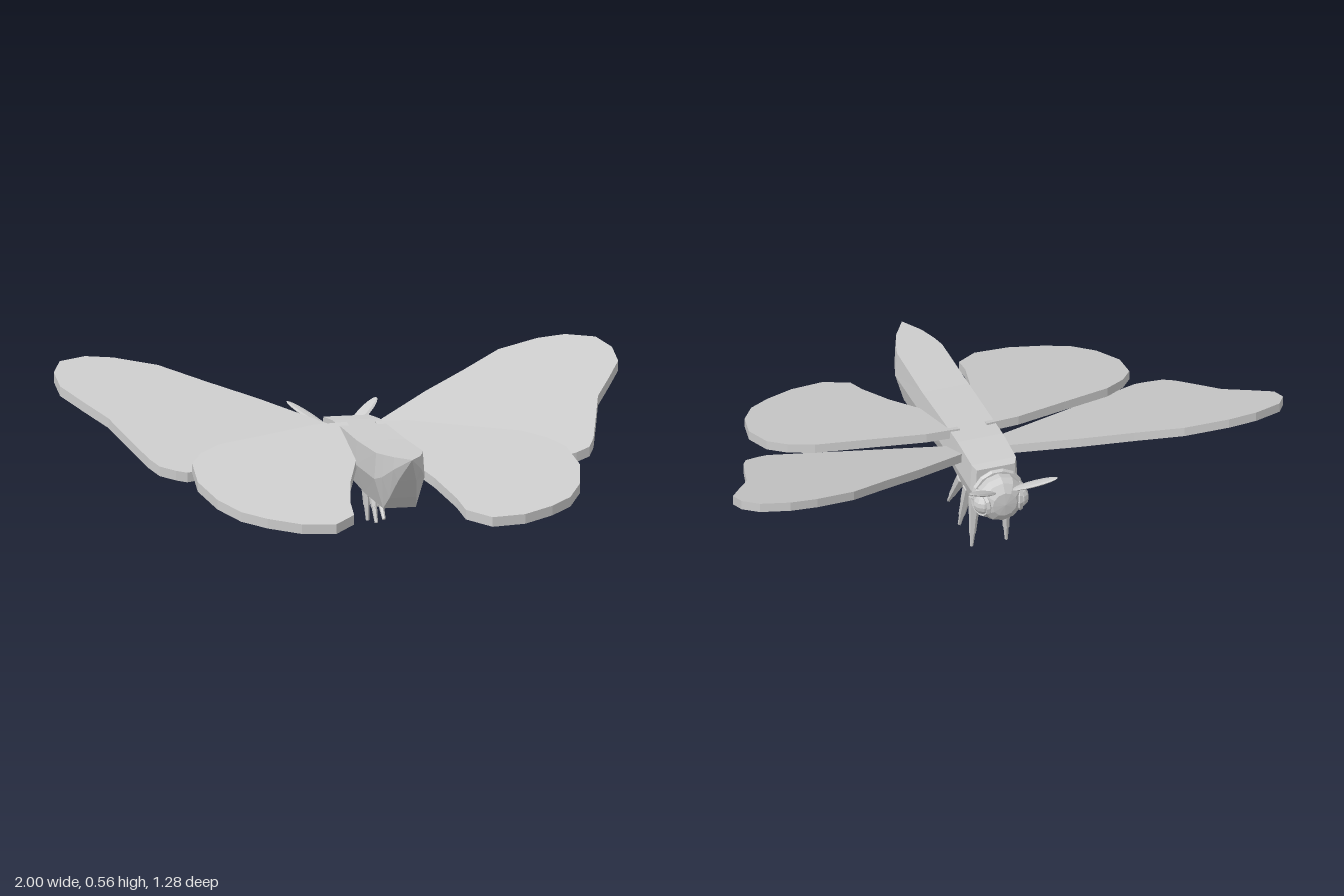
import * as THREE from 'three';

const grey = new THREE.MeshStandardMaterial({ color: 0xcccccc, flatShading: true });
grey.name = 'paleGrey';

function add(parent, name, geometry) {
  const mesh = new THREE.Mesh(geometry, grey);
  mesh.name = name;
  parent.add(mesh);
  return mesh;
}

// Flat wing plate: outline in x,z, laid on the sloping plane y = a + b*x + c*z
function wing(points, side, [a, b, c], thick) {
  const shape = new THREE.Shape(points.map(([x, z]) => new THREE.Vector2(x * side, -z)));
  const geo = new THREE.ExtrudeGeometry(shape, { depth: thick, bevelEnabled: false });
  geo.rotateX(-Math.PI / 2);
  const p = geo.attributes.position;
  for (let i = 0; i < p.count; i++) {
    p.setY(i, p.getY(i) - thick + a + b * Math.abs(p.getX(i)) + c * p.getZ(i));
  }
  geo.computeVertexNormals();
  return geo;
}

// Faceted body lofted from six-sided sections: [z, half width, top, middle, bottom]
function loft(sections) {
  const pos = [], idx = [], n = 6;
  for (const [z, w, top, mid, bot] of sections) {
    for (const [x, y] of [[w, mid], [w * 0.93, top], [-w * 0.93, top], [-w, mid], [-w * 0.65, bot], [w * 0.65, bot]]) pos.push(x, y, z);
  }
  for (let i = 0; i < sections.length - 1; i++) {
    for (let j = 0; j < n; j++) {
      const a = i * n + j, b = i * n + (j + 1) % n;
      idx.push(a, b, a + n, b, b + n, a + n);
    }
  }
  for (let j = 1; j < n - 1; j++) idx.push(0, j + 1, j);
  const geo = new THREE.BufferGeometry();
  geo.setAttribute('position', new THREE.Float32BufferAttribute(pos, 3));
  geo.setIndex(idx);
  const flat = geo.toNonIndexed();
  flat.computeVertexNormals();
  return flat;
}

// Tapered rod between two points
function rod(from, to, r0, r1) {
  const dir = to.clone().sub(from);
  const geo = new THREE.CylinderGeometry(r1, r0, dir.length(), 6);
  geo.applyQuaternion(new THREE.Quaternion().setFromUnitVectors(new THREE.Vector3(0, 1, 0), dir.clone().normalize()));
  const m = from.clone().add(to).multiplyScalar(0.5);
  return geo.translate(m.x, m.y, m.z);
}

const foreOutline = [
  [0.05, -0.22], [0.09, -0.25], [0.3, -0.4], [0.46, -0.5], [0.61, -0.6], [0.76, -0.64],
  [0.86, -0.643], [0.96, -0.605], [1, -0.53], [1, -0.44], [0.94, -0.34], [0.877, -0.24],
  [0.84, -0.12], [0.797, 0.015], [0.77, 0.065], [0.717, 0.09], [0.68, 0.1], [0.09, -0.1], [0.05, -0.11],
];
const hindOutline = [
  [0.05, -0.13], [0.17, -0.12], [0.36, -0.06], [0.54, -0.005], [0.62, 0.055], [0.67, 0.13],
  [0.685, 0.27], [0.65, 0.41], [0.59, 0.51], [0.51, 0.57], [0.4, 0.623], [0.28, 0.635],
  [0.2, 0.57], [0.19, 0.48], [0.15, 0.32], [0.09, 0.16], [0.05, 0.1],
];

export function createModel() {
  const model = new THREE.Group();
  model.name = 'moth';

  // Body, from the chest at -z to the raised tail point
  add(model, 'body', loft([
    [-0.36, 0.075, 0.355, 0.26, 0.175],
    [-0.34, 0.088, 0.368, 0.27, 0.17],
    [-0.2, 0.09, 0.38, 0.28, 0.178],
    [-0.06, 0.09, 0.378, 0.285, 0.208],
    [0.157, 0.092, 0.373, 0.29, 0.188],
    [0.42, 0.09, 0.377, 0.285, 0.18],
    [0.47, 0.075, 0.379, 0.3, 0.225],
    [0.53, 0.05, 0.38, 0.335, 0.295],
    [0.6, 0.001, 0.381, 0.38, 0.379],
  ]));

  // Head, rounded towards -z, with a collar
  const head = new THREE.Group();
  head.name = 'head';
  model.add(head);
  const profile = [[0, 0.33], [0.075, 0.34], [0.084, 0.375], [0.086, 0.41], [0.075, 0.435], [0.045, 0.455], [0, 0.46]];
  const skull = new THREE.LatheGeometry(profile.map(([r, z]) => new THREE.Vector2(r, z)), 12);
  add(head, 'skull', skull.rotateX(-Math.PI / 2).translate(0, 0.257, 0));
  add(head, 'collar', new THREE.TorusGeometry(0.085, 0.012, 6, 14).translate(0, 0.257, -0.372));

  // Legs: hip and foot as [y, z]
  const legs = [[[0.21, -0.302], [0.004, -0.29]], [[0.215, -0.24], [0.018, -0.165]], [[0.215, -0.175], [0.05, -0.055]]];

  for (const side of [1, -1]) {
    const tag = side > 0 ? 'left' : 'right';
    add(model, tag + 'Forewing', wing(foreOutline, side, [0.262, 0.075, -0.367], 0.034));
    add(model, tag + 'Hindwing', wing(hindOutline, side, [0.35, 0, -0.28], 0.034));

    // Eye with its rim
    add(head, tag + 'Eye', new THREE.SphereGeometry(0.04, 10, 8).translate(side * 0.062, 0.252, -0.412));
    add(head, tag + 'EyeRim', new THREE.TorusGeometry(0.042, 0.01, 5, 12).rotateY(Math.PI / 2)
      .rotateY(side * 0.35).translate(side * 0.072, 0.252, -0.41));

    // Leaf-shaped antenna
    const dir = new THREE.Vector3(side * 0.13, 0.09, -0.12).normalize();
    const across = new THREE.Vector3().crossVectors(dir, new THREE.Vector3(0, 1, 0)).normalize();
    const normal = new THREE.Vector3().crossVectors(across, dir);
    const leaf = new THREE.SphereGeometry(1, 8, 8).scale(0.027, 0.1, 0.008);
    leaf.applyMatrix4(new THREE.Matrix4().makeBasis(across, dir, normal));
    add(head, tag + 'Antenna', leaf.translate(side * 0.095, 0.343, -0.49));

    // Stepped three-piece legs
    legs.forEach(([hip, foot], i) => {
      const leg = new THREE.Group();
      leg.name = tag + 'Leg' + (i + 1);
      model.add(leg);
      const a = new THREE.Vector3(side * 0.056, ...hip), b = new THREE.Vector3(side * 0.064, ...foot);
      const at = (t) => a.clone().lerp(b, t);
      add(leg, 'thigh', rod(at(0), at(0.36), 0.022, 0.018));
      add(leg, 'shin', rod(at(0.34), at(0.74), 0.017, 0.012));
      add(leg, 'foot', rod(at(0.72), at(1), 0.01, 0.006));
    });
  }
  return model;
}
